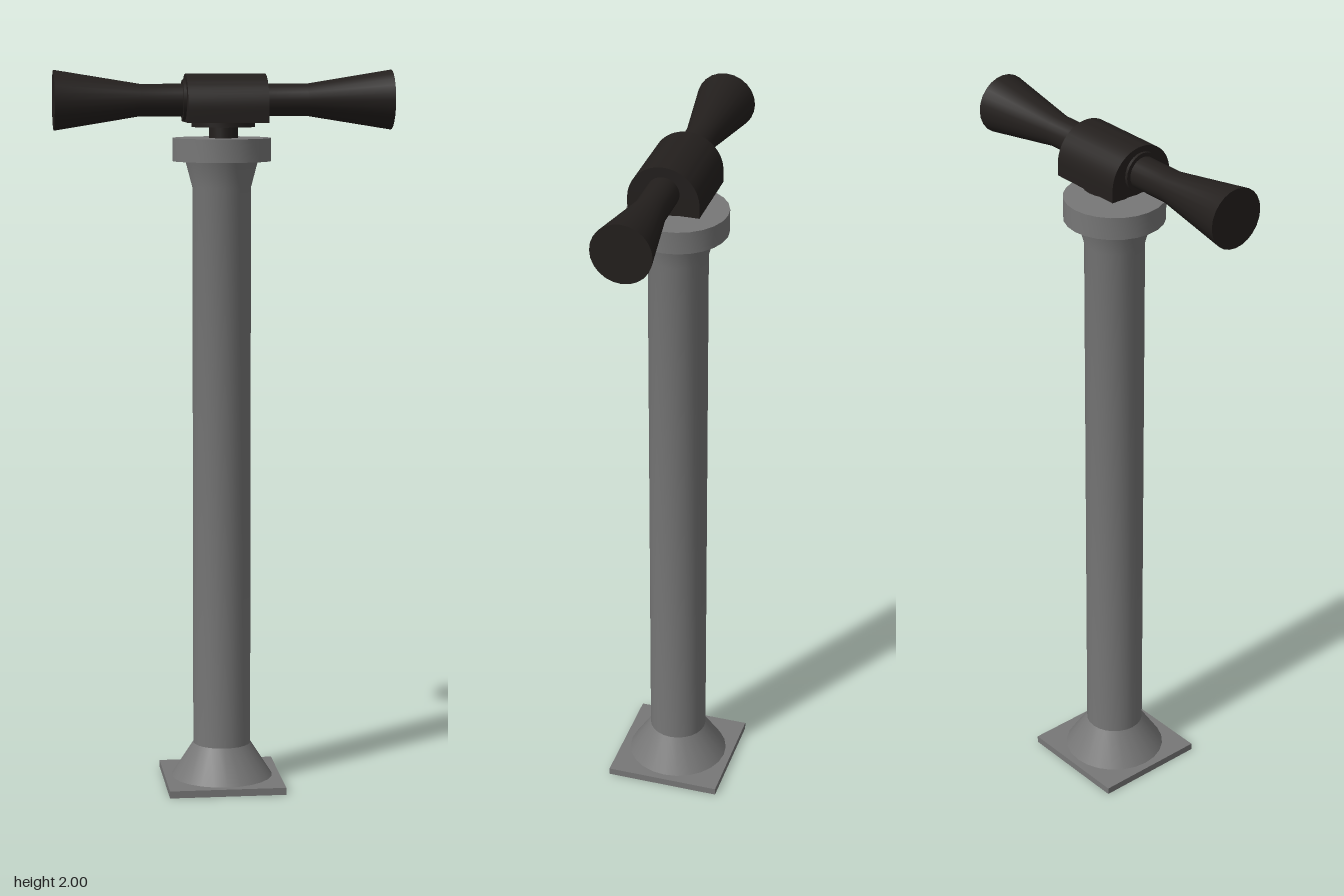
import * as THREE from 'three';
import { toCreasedNormals } from 'three/addons/utils/BufferGeometryUtils.js';

const grey = new THREE.MeshStandardMaterial({ color: 0x777777 });
const black = new THREE.MeshStandardMaterial({ color: 0x231f1d });
const CX = -0.004, CZ = -0.004, HORN_Y = 1.918;

function add(group, name, geometry, material, x, y, z) {
  const mesh = new THREE.Mesh(toCreasedNormals(geometry, 0.45), material);
  mesh.name = name;
  mesh.position.set(x, y, z);
  group.add(mesh);
  return mesh;
}

// Turned solid from [radius, height] pairs, bottom to top
function turned(profile) {
  return new THREE.LatheGeometry(profile.map(([r, y]) => new THREE.Vector2(r, y)), 24);
}

export function createModel() {
  const model = new THREE.Group();
  model.name = 'hornPost';

  // Square foot
  add(model, 'basePlate', new THREE.BoxGeometry(0.325, 0.02, 0.325), grey, CX, 0.01, CZ);

  // Column with flared foot, flared neck and collar
  add(model, 'column', turned([
    [0, 0.02], [0.142, 0.02], [0.081, 0.115], [0.081, 1.68], [0.1, 1.752],
    [0.136, 1.752], [0.136, 1.815], [0, 1.815],
  ]), grey, CX, 0, CZ);

  // Swivel stem and mounting disc
  add(model, 'swivel', turned([
    [0, 1.81], [0.04, 1.81], [0.04, 1.845], [0.087, 1.845], [0.087, 1.862], [0, 1.862],
  ]), black, 0, 0, 0);

  // Round-topped housing, extruded along x
  const r = 0.097, low = 1.858, mid = 1.892;
  const outline = new THREE.Shape();
  outline.moveTo(-r, low);
  outline.lineTo(r, low);
  outline.lineTo(r, mid);
  outline.absarc(0, mid, r, 0, Math.PI, false);
  outline.closePath();
  const housing = new THREE.ExtrudeGeometry(outline, { depth: 0.22, bevelEnabled: false, curveSegments: 16 });
  housing.translate(0, 0, -0.11).rotateY(Math.PI / 2);
  add(model, 'housing', housing, black, 0.005, 0, 0);

  // Flange on the right face of the housing
  add(model, 'flange', new THREE.CylinderGeometry(0.055, 0.055, 0.02, 24).rotateZ(Math.PI / 2),
    black, -0.103, HORN_Y, 0);

  // Two horns pointing outwards
  for (const side of [-1, 1]) {
    const horn = turned([[0, 0.05], [0.044, 0.05], [0.044, 0.23], [0.082, 0.464], [0, 0.464]]);
    horn.rotateZ(-side * Math.PI / 2);
    add(model, side > 0 ? 'leftHorn' : 'rightHorn', horn, black, 0, HORN_Y, 0);
  }

  return model;
}
